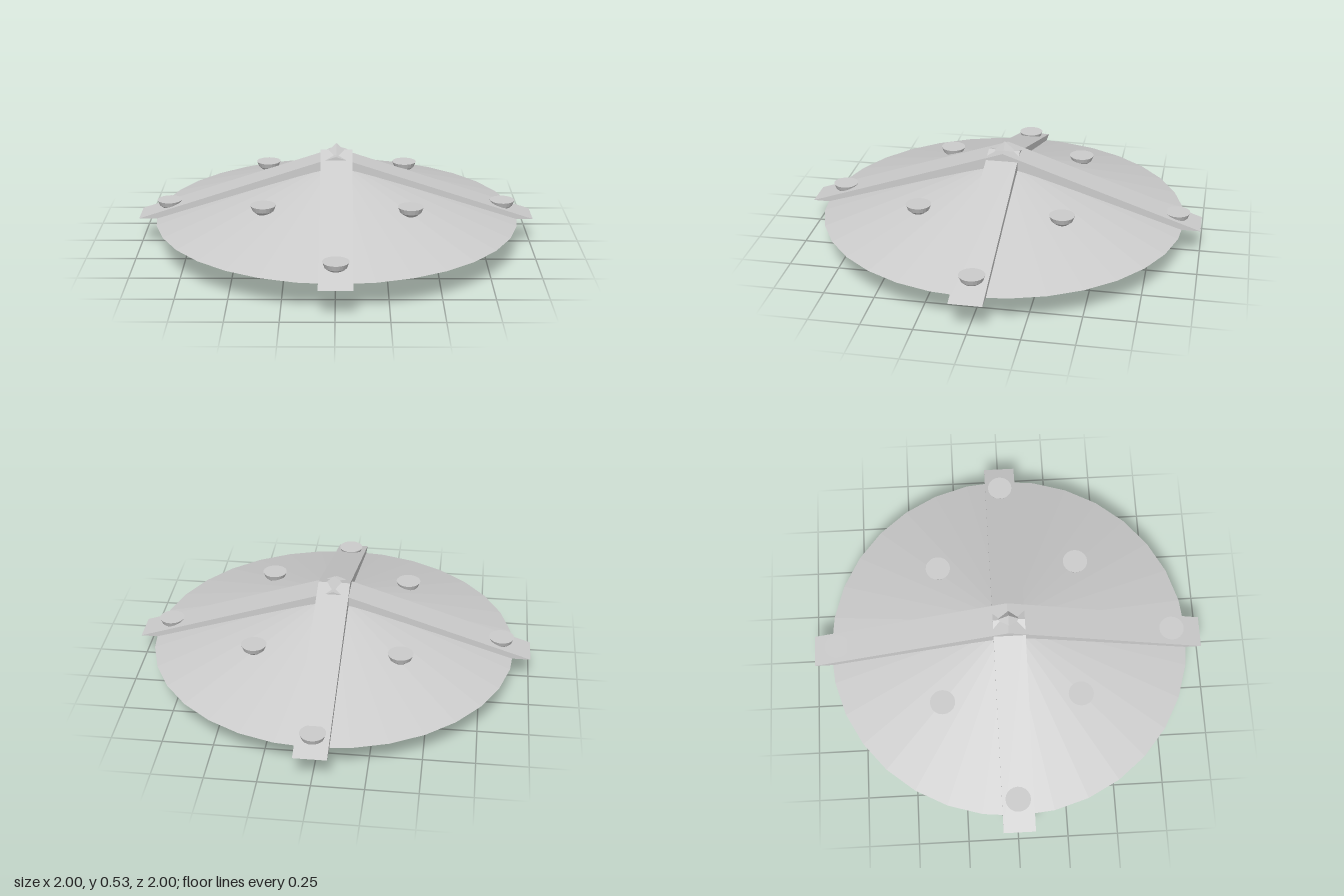
import * as THREE from 'three';

export function createModel() {
  const group = new THREE.Group();
  group.name = 'roundShield';
  const material = new THREE.MeshStandardMaterial({ color: 0xcccccc, flatShading: true });
  const base = 0.153;

  const add = (name, geometry, x = 0, y = 0, z = 0) => {
    const mesh = new THREE.Mesh(geometry, material);
    mesh.name = name;
    mesh.position.set(x, y, z);
    group.add(mesh);
    return mesh;
  };

  // Extrudes a side profile, centred on its own thickness
  const slab = (points, width) => {
    const shape = new THREE.Shape(points.map(([a, b]) => new THREE.Vector2(a, b)));
    const geometry = new THREE.ExtrudeGeometry(shape, { depth: width, bevelEnabled: false });
    return geometry.translate(0, 0, -width / 2);
  };

  // Shallow conical body
  add('shieldBody', new THREE.ConeGeometry(0.92, 0.292, 32), 0.004, base + 0.146, 0.006);

  // Crossed reinforcing bands, the front-to-back one a little higher
  add('crossBand', slab([[-1, base], [1, base], [0, 0.482]], 0.16), 0, 0, 0.005);
  add('lengthBand', slab([[-1, base], [1, base], [0, 0.494]], 0.16).rotateY(-Math.PI / 2), 0.003);

  // Small pointed boss where the bands meet
  add('centreBoss', new THREE.ConeGeometry(0.081, 0.075, 4), 0.003, 0.4925, 0.003);

  // Bowl-shaped studs with flat tops: x, top height, z
  const bowl = new THREE.LatheGeometry([
    [0, -0.05], [0.032, -0.044], [0.053, -0.026], [0.063, 0], [0, 0],
  ].map(([r, y]) => new THREE.Vector2(r, y)), 20);
  const studs = [
    [-0.36, 0.322, -0.345], [0.362, 0.322, -0.342], [-0.352, 0.322, 0.348], [0.364, 0.322, 0.368],
    [0.003, 0.212, -0.88], [0.003, 0.23, 0.845], [-0.85, 0.228, 0.005], [0.85, 0.228, 0.003],
  ];
  studs.forEach(([x, y, z], i) => add(`stud${i + 1}`, bowl, x, y, z));

  // Two grips on the underside
  const grip = slab([
    [0.23, 0.158], [0.23, 0.058], [0.168, 0.005], [-0.148, 0.005], [-0.218, 0.095], [-0.218, 0.158],
    [-0.13, 0.158], [-0.095, 0.078], [0.103, 0.078], [0.135, 0.158],
  ], 0.09).rotateY(-Math.PI / 2);
  add('rightGrip', grip, -0.22, -0.005);
  add('leftGrip', grip, 0.28, 0.003);

  return group;
}
